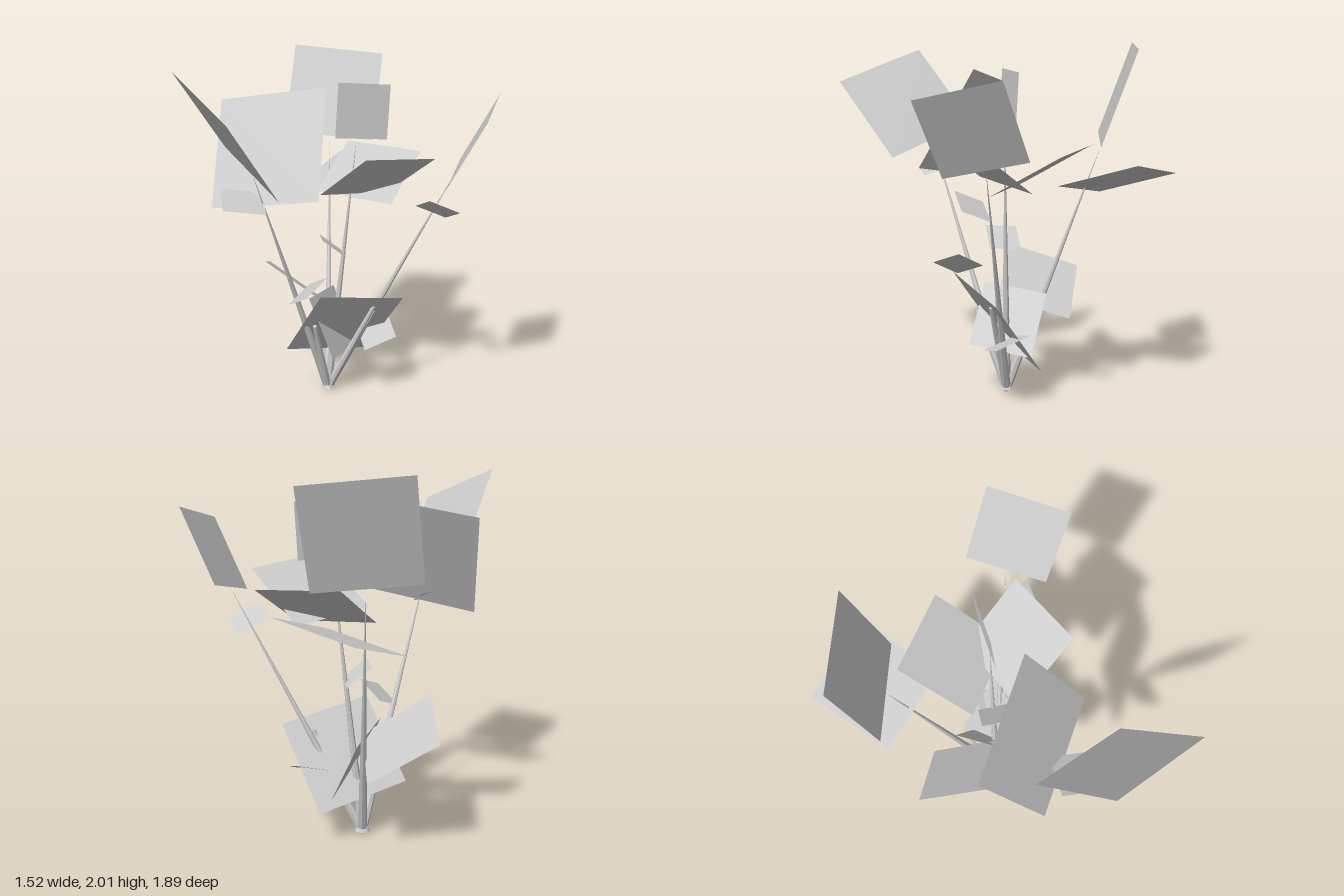
import * as THREE from 'three';

const material = new THREE.MeshStandardMaterial({ color: 0xcccccc, side: THREE.DoubleSide, flatShading: true });
const ROOT = [-0.2, 0, -0.13];

// Flat leaf card from three neighbouring corners; the fourth closes the parallelogram
function leaf(name, a, b, c) {
  const d = a.map((v, i) => v + c[i] - b[i]);
  const geometry = new THREE.BufferGeometry();
  geometry.setAttribute('position', new THREE.Float32BufferAttribute([...a, ...b, ...c, ...d], 3));
  geometry.setIndex([0, 1, 2, 0, 2, 3]);
  geometry.computeVertexNormals();
  const mesh = new THREE.Mesh(geometry, material);
  mesh.name = name;
  return mesh;
}

// Tapered stem from the root to its tip
function stem(name, tip, rBase, rTip) {
  const from = new THREE.Vector3(...ROOT);
  const dir = new THREE.Vector3(...tip).sub(from);
  const geometry = new THREE.CylinderGeometry(rTip, rBase, dir.length(), 7);
  const mesh = new THREE.Mesh(geometry, material);
  mesh.quaternion.setFromUnitVectors(new THREE.Vector3(0, 1, 0), dir.clone().normalize());
  mesh.position.copy(from).addScaledVector(dir, 0.5);
  mesh.name = name;
  return mesh;
}

export function createModel() {
  const group = new THREE.Group();
  group.name = 'plant';

  // Long stems ending in points
  [
    [-0.274, 1.41, 0.44],
    [0.457, 1.34, -0.41],
    [-0.475, 1.4, -0.56],
    [-0.05, 1.5, -0.2],
  ].forEach((tip, i) => group.add(stem(`longStem${i + 1}`, tip, 0.027, 0.001)));

  // Short stems low in the plant
  [
    [0.08, 0.56, -0.2],
    [-0.16, 0.47, 0.06],
  ].forEach((tip, i) => group.add(stem(`shortStem${i + 1}`, tip, 0.024, 0.012)));

  // Small collar where the stems meet
  const collar = new THREE.Mesh(new THREE.CylinderGeometry(0.035, 0.045, 0.02, 7), material);
  collar.position.set(ROOT[0], 0.01, ROOT[2]);
  collar.name = 'rootCollar';
  group.add(collar);

  // Large leaves at the crown
  [
    [[-0.53, 1.97, 0.74], [-0.01, 1.775, 0.945], [-0.02, 1.335, 0.555]],
    [[-0.765, 2.0, -0.61], [-0.283, 1.95, -0.865], [-0.24, 1.437, -0.685]],
    [[-0.66, 1.28, -0.945], [-0.18, 1.36, -0.925], [-0.19, 1.22, -0.455]],
    [[-0.725, 1.75, 0.15], [-0.09, 1.85, 0.03], [0.05, 1.295, 0.31]],
    [[0.632, 1.8, -0.61], [0.76, 1.706, -0.183], [0.527, 1.315, -0.195]],
    [[0.123, 1.415, -0.645], [0.167, 1.183, -0.235], [-0.304, 1.21, -0.17]],
    [[0.4, 1.458, -0.31], [0.23, 1.506, 0.133], [-0.145, 1.246, 0.02]],
    [[-0.124, 1.855, -0.135], [0.077, 1.834, -0.362], [0.07, 1.527, -0.341]],
  ].forEach((corners, i) => group.add(leaf(`crownLeaf${i + 1}`, ...corners)));

  // Leaves low on the plant
  [
    [[-0.52, 0.796, 0.05], [-0.754, 0.66, -0.294], [-0.41, 0.42, -0.43]],
    [[-0.055, 0.696, 0.15], [0.21, 0.605, -0.315], [-0.11, 0.18, -0.415]],
    [[-0.217, 0.62, 0.034], [-0.05, 0.278, 0.034], [-0.13, 0.239, -0.335]],
  ].forEach((corners, i) => group.add(leaf(`lowerLeaf${i + 1}`, ...corners)));

  // Small leaves along the stems
  [
    [[0.43, 1.246, -0.2], [0.553, 1.167, -0.33], [0.42, 1.103, -0.415]],
    [[-0.267, 0.96, -0.145], [-0.15, 0.97, -0.013], [-0.05, 0.86, -0.108]],
    [[-0.04, 0.805, 0.098], [-0.05, 0.733, 0.288], [-0.22, 0.643, 0.23]],
    [[-0.48, 1.33, 0.47], [-0.327, 1.294, 0.304], [-0.19, 1.22, 0.446]],
    [[0.04, 0.43, -0.43], [0.177, 0.357, -0.3], [0.06, 0.3, -0.135]],
  ].forEach((corners, i) => group.add(leaf(`smallLeaf${i + 1}`, ...corners)));

  return group;
}
